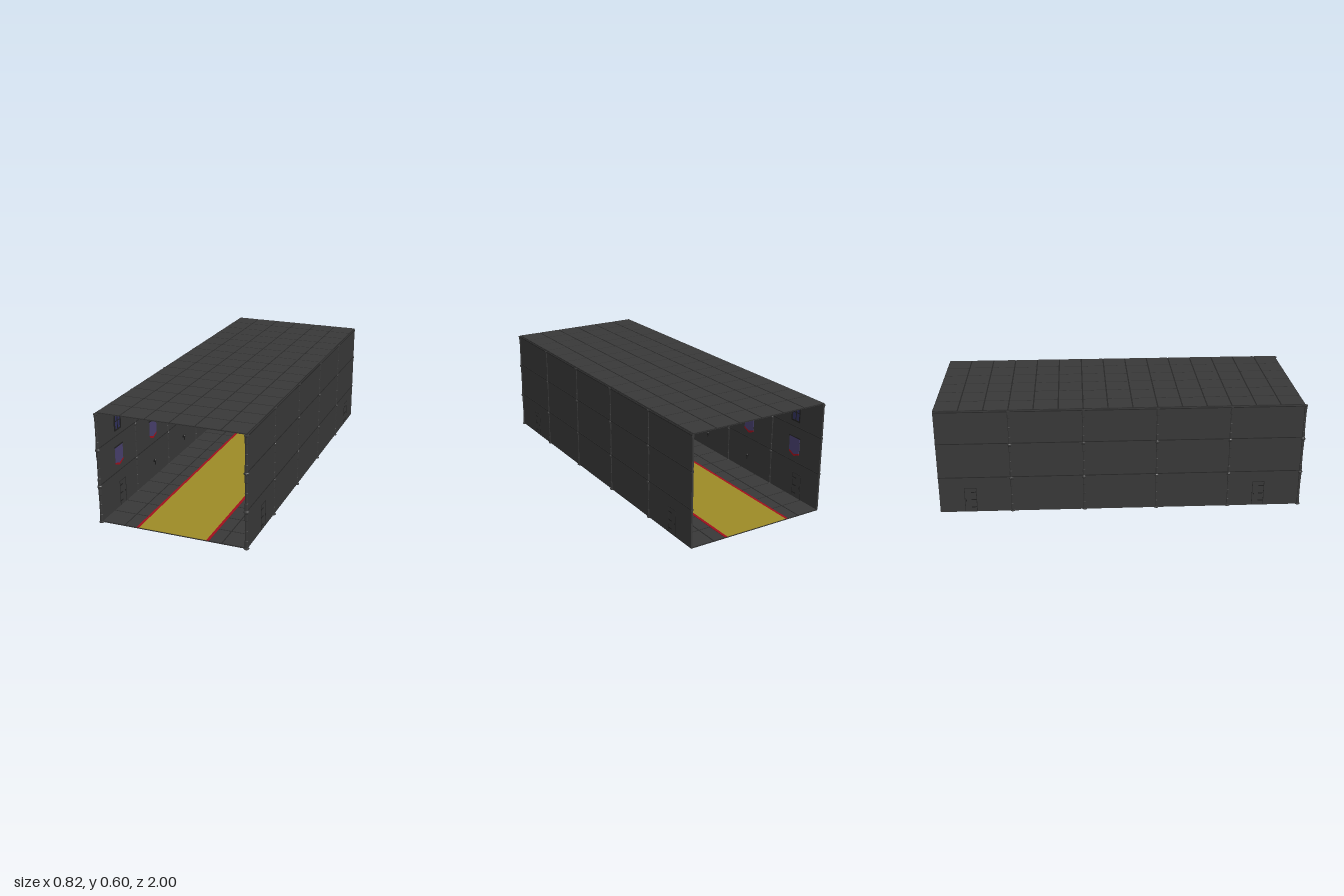
import * as THREE from 'three';

const mat = (name, color, extra = {}) => {
  const m = new THREE.MeshStandardMaterial({ color, ...extra });
  m.name = name;
  return m;
};

export function createModel() {
  const stone = mat('dark stone', 0x383838);
  const seam = mat('seam shadow', 0x262626);
  const yellow = mat('runner yellow', 0x9c8a26);
  const red = mat('trim red', 0xa0101c);
  const purple = mat('banner purple', 0x48406e);
  const glass = mat('window blue', 0x30305c);
  const iron = mat('iron', 0x1e1e1e);

  const hall = new THREE.Group();
  hall.name = 'hall';
  const add = (parent, name, geo, m, x = 0, y = 0, z = 0) => {
    const mesh = new THREE.Mesh(geo, m);
    mesh.name = name;
    mesh.position.set(x, y, z);
    parent.add(mesh);
    return mesh;
  };
  const box = (parent, name, w, h, d, m, x, y, z) =>
    add(parent, name, new THREE.BoxGeometry(w, h, d), m, x, y, z);

  const zBack = -1, zFront = 0.985, length = zFront - zBack, zMid = (zFront + zBack) / 2;
  const cols = 6, rows = 15, tileW = 0.8 / cols, tileD = length / rows;

  // Floor and roof: a slab carrying a grid of separate tiles
  const tileGeo = new THREE.BoxGeometry(tileW - 0.007, 0.003, tileD - 0.007);
  const tiledSlab = (name, y) => {
    const g = new THREE.Group();
    g.name = name;
    hall.add(g);
    box(g, name + 'Underside', 0.8, 0.002, length, stone, 0, y + 0.001, zMid);
    box(g, name + 'Seams', 0.8, 0.001, length, seam, 0, y + 0.0025, zMid);
    for (let i = 0; i < cols; i++)
      for (let j = 0; j < rows; j++)
        add(g, name + 'Tile', tileGeo, stone,
          -0.4 + (i + 0.5) * tileW, y + 0.0038, zBack + (j + 0.5) * tileD);
  };
  tiledSlab('floor', 0);
  tiledSlab('roof', 0.597);

  // Carpet runner with red borders
  box(hall, 'runner', 0.37, 0.002, length, yellow, 0, 0.0065, zMid);
  for (const s of [-1, 1])
    box(hall, 'runnerBorder', 0.014, 0.002, length, red, s * 0.192, 0.0065, zMid);

  // Column profile: three storeys with collars between them
  const profile = [[0, 0], [0.0135, 0], [0.0135, 0.005], [0.0095, 0.007]];
  for (let k = 0; k < 3; k++) {
    const b = k * 0.2;
    profile.push([0.0095, b + 0.044], [0.008, b + 0.048], [0.008, b + 0.098], [0.009, b + 0.1],
      [0.008, b + 0.102], [0.008, b + 0.152], [0.0095, b + 0.156]);
    if (k < 2) profile.push([0.0095, b + 0.192], [0.0135, b + 0.196],
      [0.0135, b + 0.204], [0.0095, b + 0.208]);
  }
  profile.push([0.0095, 0.589], [0.0125, 0.591], [0.0125, 0.596], [0, 0.596]);
  const columnGeo = new THREE.LatheGeometry(profile.map(p => new THREE.Vector2(...p)), 8, Math.PI / 8)
    .toNonIndexed();
  columnGeo.computeVertexNormals();
  const columnZ = [0.9865, 0.59, 0.192, -0.206, -0.603];

  // Pointed-arch outline, with its base at y = 0
  const arch = (Type, w, h) => {
    const p = new Type();
    p.moveTo(-w, 0);
    p.lineTo(w, 0);
    p.lineTo(w, h * 0.6);
    p.quadraticCurveTo(w, h * 0.88, 0, h);
    p.quadraticCurveTo(-w, h * 0.88, -w, h * 0.6);
    return p;
  };
  const extrude = (shape, depth) =>
    new THREE.ExtrudeGeometry(shape, { depth, bevelEnabled: false, curveSegments: 6 });
  const frameShape = arch(THREE.Shape, 0.034, 0.11);
  const hole = arch(THREE.Path, 0.027, 0.094);
  hole.curves.forEach(c => ['v0', 'v1', 'v2'].forEach(k => c[k] && (c[k] = c[k].clone().add(new THREE.Vector2(0, 0.007)))));
  frameShape.holes.push(hole);
  const frameGeo = extrude(frameShape, 0.005);
  const paneGeo = extrude(arch(THREE.Shape, 0.03, 0.104), 0.001);

  // Banner cloth and its pointed red tip
  const poly = pts => new THREE.Shape(pts.map(p => new THREE.Vector2(...p)));
  const clothGeo = extrude(poly([[-0.04, 0.022], [0, 0.008], [0.04, 0.022], [0.04, 0.105], [-0.04, 0.105]]), 0.003);
  const tipGeo = extrude(poly([[-0.04, 0.012], [0, -0.004], [0.04, 0.012], [0.04, 0.022], [0, 0.008], [-0.04, 0.022]]), 0.003);

  const torchGeo = new THREE.LatheGeometry(
    [[0, 0], [0.002, 0], [0.005, 0.022], [0.007, 0.024], [0.007, 0.032], [0, 0.034]]
      .map(p => new THREE.Vector2(...p)), 8);

  for (const s of [-1, 1]) {
    const wall = new THREE.Group();
    wall.name = s > 0 ? 'leftWall' : 'rightWall';
    hall.add(wall);
    const cx = s * 0.3975;

    // Wall panels and the ledges between storeys
    box(wall, 'wallPanel', 0.009, 0.594, length, stone, cx, 0.3, zMid);
    for (const y of [0.206, 0.406, 0.588]) {
      box(wall, 'ledge', 0.014, 0.008, length, stone, cx, y, zMid);
      box(wall, 'ledgeShadow', 0.0145, 0.004, length, seam, cx, y + 0.004, zMid);
    }
    for (const z of columnZ) add(wall, 'column', columnGeo, stone, cx, 0, z);

    // Bay decoration facing the interior
    const inward = (name, geo, m, x, y, z) => {
      add(wall, name, geo, m, s * x, y, z).rotation.y = -s * Math.PI / 2;
    };
    for (let k = 0; k < 5; k++) {
      const z = 0.788 - k * 0.397;
      inward('windowFrame', frameGeo, iron, 0.393, 0.44, z);
      inward('windowPane', paneGeo, glass, 0.393, 0.442, z);
      box(wall, 'windowMullion', 0.003, 0.098, 0.004, iron, s * 0.391, 0.493, z);
      box(wall, 'windowBar', 0.003, 0.004, 0.056, iron, s * 0.391, 0.49, z);
      inward('bannerCloth', clothGeo, purple, 0.391, 0.246, z);
      inward('bannerTip', tipGeo, red, 0.391, 0.246, z);
      box(wall, 'bannerRod', 0.006, 0.005, 0.09, iron, s * 0.39, 0.352, z);

      if (k > 0 && k < 4) {
        // Wall torch
        add(wall, 'torch', torchGeo, iron, s * 0.382, 0.08, z);
        box(wall, 'torchBracket', 0.01, 0.01, 0.006, iron, s * 0.389, 0.1, z);
      } else {
        // Door, outlined on both faces of the wall
        const dz = z - 0.03;
        for (const f of [-1, 1]) {
          const x = cx + f * 0.005;
          for (const e of [-1, 1])
            box(wall, 'doorJamb', 0.002, 0.14, 0.003, seam, x, 0.075, dz + e * 0.032);
          box(wall, 'doorLintel', 0.002, 0.003, 0.067, seam, x, 0.145, dz);
          for (const y of [0.03, 0.075, 0.12])
            box(wall, 'doorHinge', 0.003, 0.005, 0.028, iron, x, y, dz + 0.017);
          box(wall, 'doorHandle', 0.004, 0.01, 0.004, iron, x, 0.07, dz - 0.024);
        }
      }
    }
  }
  return hall;
}
